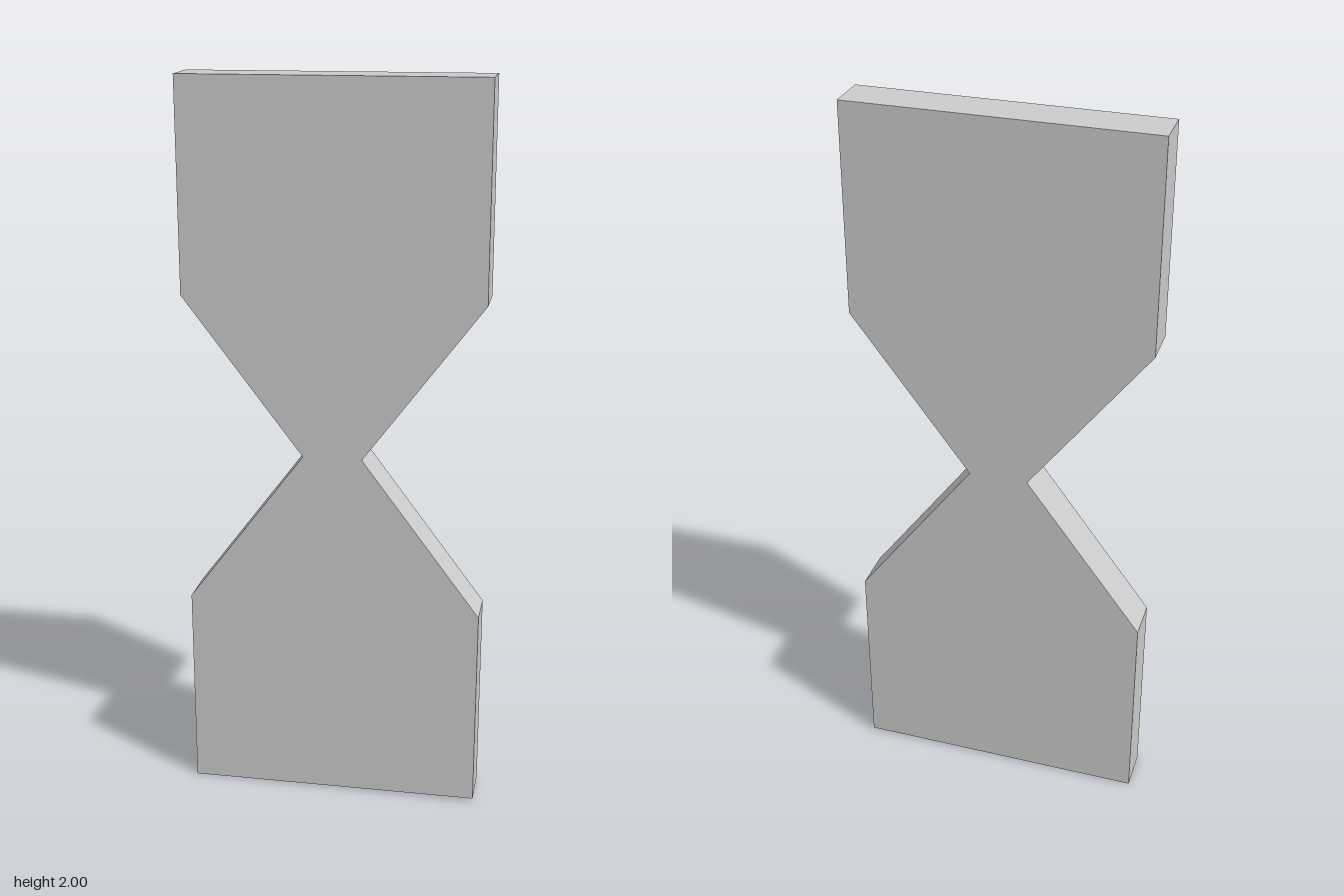
import * as THREE from 'three';

const DEPTH = 0.118;

export function createModel() {
  const group = new THREE.Group();
  group.name = 'hourglassPlate';

  // Outline, counter-clockwise from the lower left corner, pinched at the waist
  const outline = [
    [-0.402, 0], [0.404, 0.008], [0.404, 0.57], [0.08, 1.002], [0.402, 1.435],
    [0.4, 2], [-0.405, 1.996], [-0.405, 1.43], [-0.08, 1.002], [-0.402, 0.57],
  ];
  const shape = new THREE.Shape(outline.map(([x, y]) => new THREE.Vector2(x, y)));

  // Flat plate with sharp edges
  const geometry = new THREE.ExtrudeGeometry(shape, { depth: DEPTH, bevelEnabled: false });
  geometry.translate(0, 0, -DEPTH / 2);

  const plate = new THREE.Mesh(
    geometry,
    new THREE.MeshStandardMaterial({ color: 0xcccccc, flatShading: true })
  );
  plate.name = 'plate';
  group.add(plate);
  return group;
}
